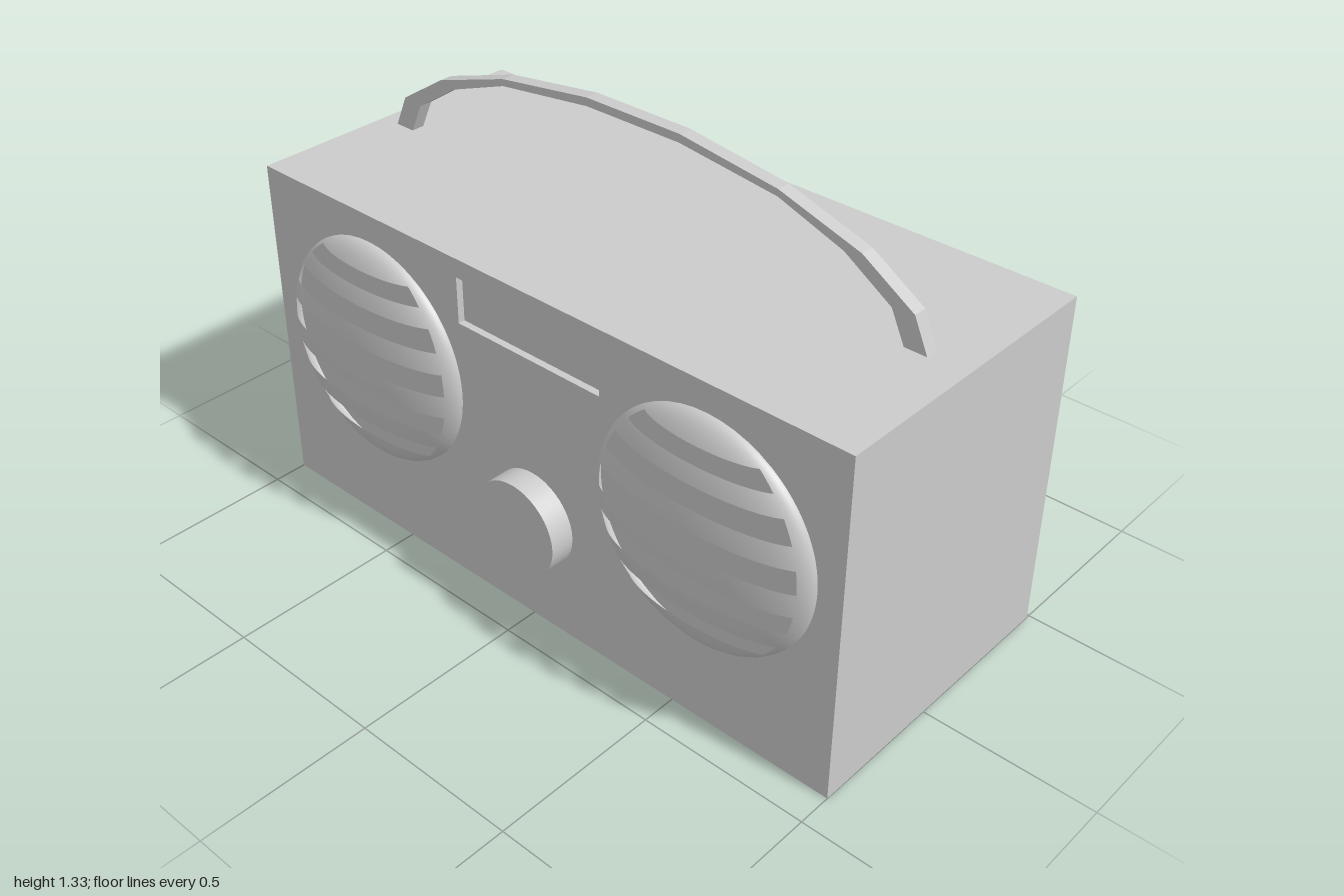
import * as THREE from 'three';

const material = new THREE.MeshStandardMaterial({ color: 0xcccccc });
const shellMaterial = new THREE.MeshStandardMaterial({ color: 0xcccccc, side: THREE.DoubleSide });

function addMesh(parent, name, geometry, mat = material) {
  const mesh = new THREE.Mesh(geometry, mat);
  mesh.name = name;
  parent.add(mesh);
  return mesh;
}

// Extrudes a (z, y) outline along x between xMin and xMax.
function extrudeAlongX(shape, xMin, xMax) {
  return new THREE.ExtrudeGeometry(shape, { depth: xMax - xMin, bevelEnabled: false })
    .rotateY(-Math.PI / 2)
    .translate(xMax, 0, 0);
}

function rectangle(target, z0, y0, z1, y1) {
  target.moveTo(z0, y0);
  target.lineTo(z1, y0);
  target.lineTo(z1, y1);
  target.lineTo(z0, y1);
  target.closePath();
  return target;
}

// Domed speaker cover: solid bars, with slots that stop short of the rim.
function createSpeaker(name) {
  const radius = 0.335, bulge = 0.095, slotEnd = 1.15, half = Math.PI / 2;
  const slots = [[0.277, 0.235], [0.186, 0.126], [0.066, 0], [-0.07, -0.13], [-0.19, -0.24]];
  const speaker = new THREE.Group();
  speaker.name = name;

  const patch = (part, yTop, yBottom, from, to) => {
    const top = Math.acos(yTop / radius);
    const bottom = Math.acos(yBottom / radius);
    const columns = Math.max(3, Math.round((to - from) * 12));
    const geometry = new THREE.SphereGeometry(1, columns, 5, from, to - from, top, bottom - top);
    addMesh(speaker, part, geometry.scale(bulge, radius, radius), shellMaterial);
  };

  let top = radius;
  for (const [slotTop, slotBottom] of slots) {
    patch('speakerBar', top, slotTop, -half, half);
    patch('speakerRim', slotTop, slotBottom, -half, -slotEnd);
    patch('speakerRim', slotTop, slotBottom, slotEnd, half);
    top = slotBottom;
  }
  patch('speakerBar', top, -radius, -half, half);
  return speaker;
}

export function createModel() {
  const radio = new THREE.Group();
  radio.name = 'radio';

  // Cabinet and the thin panel with the display window cut out
  addMesh(radio, 'cabinet', new THREE.BoxGeometry(0.87, 1.015, 2)).position.set(0.055, 0.5075, 0);
  const panel = rectangle(new THREE.Shape(), -1, 0, 1, 1.015);
  panel.holes.push(rectangle(new THREE.Path(), -0.24, 0.825, 0.255, 0.96));
  addMesh(radio, 'displayPanel', extrudeAlongX(panel, -0.4, -0.38));

  // Speakers
  for (const [name, z] of [['speakerA', -0.578], ['speakerB', 0.593]]) {
    const speaker = createSpeaker(name);
    speaker.position.set(-0.4, 0.6, z);
    radio.add(speaker);
  }

  // Tuning knob
  const knob = new THREE.CylinderGeometry(0.14, 0.14, 0.083, 40).rotateZ(Math.PI / 2);
  addMesh(radio, 'tuningKnob', knob).position.set(-0.4315, 0.337, 0.013);

  // Faceted arched handle, mirrored about its middle
  const outer = [[0.915, 1.015], [0.872, 1.11], [0.715, 1.21], [0.465, 1.288], [0.156, 1.33]];
  const inner = [[0.85, 1.015], [0.808, 1.104], [0.665, 1.197], [0.465, 1.268], [0.156, 1.306]];
  const mirror = (points) => points.map(([z, y]) => [-z, y]);
  const outline = [
    ...outer, ...mirror(outer).reverse(),
    ...mirror(inner), ...[...inner].reverse(),
  ].map(([z, y]) => new THREE.Vector2(z - 0.025, y));
  addMesh(radio, 'carryHandle', extrudeAlongX(new THREE.Shape(outline), 0.02, 0.06));

  return radio;
}
